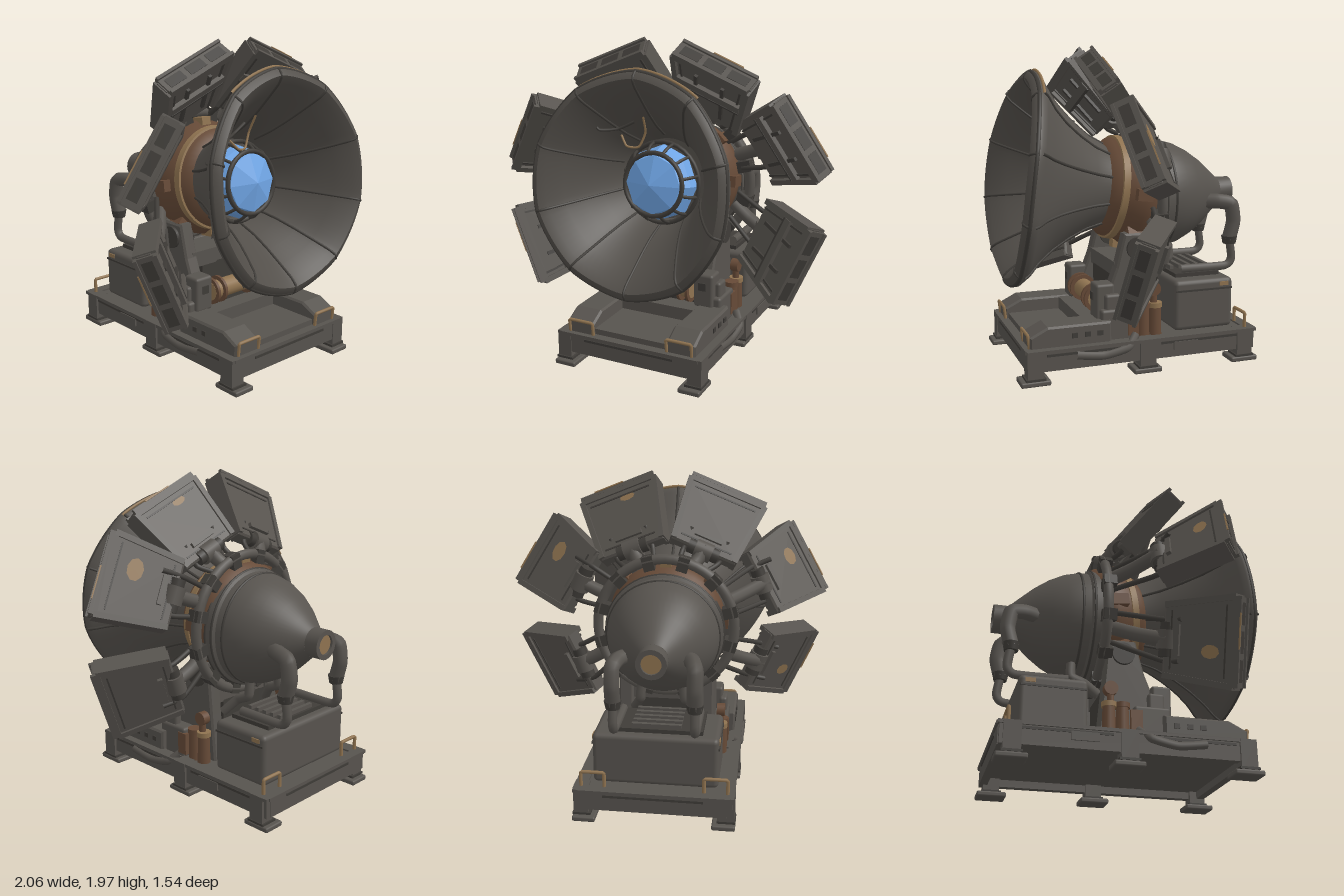
import * as THREE from 'three';
import { toCreasedNormals } from 'three/addons/utils/BufferGeometryUtils.js';
import { RoundedBoxGeometry } from 'three/addons/geometries/RoundedBoxGeometry.js';

const mat = (name, color) => Object.assign(new THREE.MeshStandardMaterial({ color }), { name });
const V = (x, y, z) => new THREE.Vector3(x, y, z);
const rad = THREE.MathUtils.degToRad;

export function createModel() {
  const root = new THREE.Group();
  root.name = 'hornMachine';
  const steel = mat('gunmetal', 0x57534e), dark = mat('darkTrim', 0x3f3c38), inner = mat('hornLining', 0x524e49);
  const rust = mat('rust', 0x664a37), brass = mat('wornBrass', 0x8f7350), blue = mat('coreBlue', 0x70a6e6);

  // helpers
  const add = (parent, name, geo, m, x = 0, y = 0, z = 0) => {
    const mesh = new THREE.Mesh(geo, m);
    mesh.name = name;
    mesh.position.set(x, y, z);
    parent.add(mesh);
    return mesh;
  };
  const group = (parent, name) => {
    const g = new THREE.Group();
    g.name = name;
    parent.add(g);
    return g;
  };
  const box = (p, name, m, w, h, d, x, y, z) => add(p, name, new THREE.BoxGeometry(w, h, d), m, x, y, z);
  const soft = (p, name, m, w, h, d, x, y, z, r = 0.018) => add(p, name, new RoundedBoxGeometry(w, h, d, 2, r), m, x, y, z);
  const tube = (p, name, m, r, pts, n = 24, tension = 0.3) =>
    add(p, name, new THREE.TubeGeometry(new THREE.CatmullRomCurve3(pts.map(a => V(...a)), false, 'catmullrom', tension), n, r, 8), m);
  const cylX = (p, name, m, r, w, x, y, z) => add(p, name, new THREE.CylinderGeometry(r, r, w, 20).rotateZ(Math.PI / 2), m, x, y, z);
  const lathe = (pts, n = 48) => new THREE.LatheGeometry(pts.map(a => new THREE.Vector2(...a)), n).rotateX(Math.PI / 2);
  const crease = (geo, a = 0.6) => toCreasedNormals(geo, a);
  const slab = (pts, depth) => new THREE.ExtrudeGeometry(new THREE.Shape(pts.map(a => new THREE.Vector2(...a))),
    { depth, bevelEnabled: true, bevelSize: 0.012, bevelThickness: 0.012, bevelSegments: 1 }).translate(0, 0, -depth / 2);

  // head: horn, core and throat on a slightly raised axis
  const head = group(root, 'head');
  head.position.set(0, 1.08, 0);
  head.rotation.x = -0.122;

  // horn with shallow flutes; the lip reaches further forward at the sides
  const RIBS = 10;
  const hornPoint = (r, z, a) => {
    const k = THREE.MathUtils.smoothstep(z, 0.2, 0.66);
    const f = r * (1 - 0.014 * k * Math.abs(Math.sin(a * RIBS / 2)));
    return [Math.sin(a) * f * (1 - 0.05 * k), Math.cos(a) * f, z - 0.03 * k * Math.cos(2 * a)];
  };
  const warp = geo => {
    const p = geo.attributes.position;
    for (let i = 0; i < p.count; i++) {
      const x = p.getX(i), y = p.getY(i);
      p.setXYZ(i, ...hornPoint(Math.hypot(x, y), p.getZ(i), Math.atan2(x, y)));
    }
    geo.computeVertexNormals();
    return crease(geo, 0.7);
  };
  const outer = [[0.25, 0.0], [0.26, 0.12], [0.31, 0.24], [0.385, 0.36], [0.47, 0.47], [0.56, 0.56], [0.64, 0.62], [0.668, 0.65]];
  const lining = [[0.67, 0.67], [0.655, 0.695], [0.62, 0.712], [0.575, 0.68], [0.5, 0.59], [0.42, 0.485], [0.345, 0.37], [0.285, 0.25], [0.25, 0.16], [0, 0.15]];
  add(head, 'hornShell', warp(lathe([...outer, lining[0]], 80)), steel);
  add(head, 'hornLining', warp(lathe(lining, 80)), inner);
  for (let i = 0; i < RIBS; i++) {
    const a = i / RIBS * Math.PI * 2;
    tube(head, 'hornRib', dark, 0.008, lining.slice(0, 8).map(([r, z]) => hornPoint(r - 0.003, z, a)));
    tube(head, 'hornOuterRib', dark, 0.009, outer.slice(1).map(([r, z]) => hornPoint(r + 0.002, z, a)));
  }
  const rimArc = (r, z, from, to) => Array.from({ length: 61 }, (_, i) => hornPoint(r, z, from + (to - from) * i / 60));
  tube(head, 'hornRim', dark, 0.013, rimArc(0.66, 0.675, 0, Math.PI * 2), 120);
  tube(head, 'wornRimEdge', brass, 0.009, rimArc(0.673, 0.65, -0.6, 0.65), 50);
  tube(head, 'looseCable', brass, 0.007, [[-0.2, 0.27, 0.42], [-0.15, 0.21, 0.44], [-0.08, 0.21, 0.42], [-0.04, 0.3, 0.42], [-0.03, 0.4, 0.48]]);
  tube(head, 'looseCable', dark, 0.009, [[-0.34, 0.38, 0.52], [-0.3, 0.3, 0.52], [-0.2, 0.31, 0.46], [-0.1, 0.36, 0.45]]);

  // coarse faceted glowing core in a tapering cage
  const core = group(head, 'coreAssembly');
  core.position.y = -0.015;
  const gem = lathe([[0.2, 0.18], [0.236, 0.24], [0.222, 0.3], [0.182, 0.37], [0, 0.425]], 8).toNonIndexed();
  gem.computeVertexNormals();
  add(core, 'core', gem, blue);
  add(core, 'cageFrontRing', new THREE.TorusGeometry(0.192, 0.015, 8, 32), dark, 0, 0, 0.365);
  add(core, 'cageBackRing', new THREE.TorusGeometry(0.25, 0.014, 8, 32), dark, 0, 0, 0.25);
  for (let i = 0; i < 12; i++) {
    const a = (i + 0.5) / 12 * Math.PI * 2, at = (r, z) => [Math.sin(a) * r, Math.cos(a) * r, z];
    tube(core, 'cageBar', dark, 0.01, [at(0.192, 0.365), at(0.232, 0.31), at(0.25, 0.25)], 6);
  }

  // rusty throat with one worn band
  add(head, 'throat', crease(lathe([[0, -0.2], [0.3, -0.2], [0.36, -0.13], [0.37, -0.06], [0.33, 0.0], [0.31, 0.1], [0.26, 0.14]]), 0.8), rust);
  add(head, 'throatBand', crease(lathe([[0.31, 0.03], [0.332, 0.035], [0.328, 0.075], [0.3, 0.08]])), brass);
  for (let i = 0; i < 8; i++) {
    const a = i / 8 * Math.PI * 2;
    const lug = box(head, 'throatLug', i % 4 ? rust : brass, 0.07, 0.05, 0.1, Math.sin(a) * 0.36, Math.cos(a) * 0.36, -0.05);
    lug.rotation.z = -a;
  }

  // rear bell, level, with its open nozzle
  const rear = group(root, 'rearBell');
  rear.position.set(0, 1.03, 0);
  add(rear, 'bell', crease(lathe([[0, -0.69], [0.09, -0.69], [0.105, -0.67], [0.15, -0.62], [0.22, -0.54], [0.282, -0.45], [0.326, -0.36], [0.346, -0.28],
    [0.352, -0.22], [0.368, -0.21], [0.368, -0.14], [0.3, -0.13], [0, -0.13]]), 0.5), steel);
  for (const [r, z] of [[0.366, -0.2], [0.366, -0.15], [0.346, -0.27]]) add(rear, 'bellBand', new THREE.TorusGeometry(r, 0.009, 8, 48), dark, 0, 0, z);
  add(rear, 'nozzle', crease(lathe([[0.06, -0.67], [0.06, -0.78], [0.09, -0.78], [0.09, -0.67]], 24)), steel);
  add(rear, 'nozzleLining', new THREE.CircleGeometry(0.062, 24).rotateY(Math.PI), brass, 0, 0, -0.765);

  // carrying ring for the shield panels
  const ring = group(root, 'carrierRing');
  ring.position.set(0, 1.09, 0);
  add(ring, 'ringBody', new THREE.TorusGeometry(0.43, 0.032, 8, 56), steel, 0, -0.04, -0.14);
  for (let i = 0; i < 12; i++) {
    const a = (i + 0.5) / 12 * Math.PI * 2;
    const c = box(ring, 'ringClamp', dark, 0.07, 0.09, 0.08, Math.sin(a) * 0.415, Math.cos(a) * 0.415 - 0.04, -0.13);
    c.rotation.z = -a;
  }

  // shield panels: bearing from vertical, centre (side shift, radius, z), forward lean, twist, worn spot
  const panelAt = (bearing, x0, r, z, lean, twist, spot) => {
    const spoke = group(ring, 'shieldPanel');
    spoke.rotation.z = -rad(bearing);
    const p = group(spoke, 'panelBody');
    p.position.set(x0, r, z);
    p.rotation.set(rad(lean), rad(twist), 0);
    const L = 0.21, T = 0.075;
    add(p, 'panelPlate', slab([[-0.2, -L], [0.2, -L], [0.247, L], [-0.247, L]], T), steel);
    // raised frame and cross rail on the inner face
    for (const s of [-1, 1]) {
      const rail = box(p, 'sideRail', steel, 0.035, 0.43, 0.135, s * 0.226, 0, 0.005);
      rail.rotation.z = -s * 0.112;
      const edge = box(p, 'railEdge', dark, 0.012, 0.42, 0.014, s * 0.184, 0, 0.052);
      edge.rotation.z = -s * 0.112;
      box(p, 'innerRib', dark, 0.022, 0.28, 0.03, s * 0.09, 0, 0.052);
    }
    box(p, 'topRail', steel, 0.505, 0.04, 0.135, 0, 0.212, 0.005);
    box(p, 'crossRail', steel, 0.43, 0.05, 0.035, 0, 0.04, 0.06);
    box(p, 'crossEdge', dark, 0.43, 0.012, 0.04, 0, 0.01, 0.06);
    // recessed vents along the outer end
    for (let i = -1; i <= 1; i++) box(p, 'endVent', dark, 0.125, 0.008, 0.065, i * 0.16, 0.231, 0.005);
    for (const s of [-1, 1]) box(p, 'endLip', steel, 0.505, 0.022, 0.02, 0, 0.235, 0.005 + s * 0.058);
    // back face trim
    box(p, 'backTrim', dark, 0.41, 0.01, 0.008, 0, 0.16, -0.05);
    box(p, 'backTrim', dark, 0.34, 0.01, 0.008, 0, -0.17, -0.05);
    box(p, 'backHandle', steel, 0.18, 0.03, 0.03, 0, -0.13, -0.056);
    if (spot) {
      const [x, y, w, h] = spot;
      add(p, 'wornSpot', new THREE.CircleGeometry(1, 9).rotateY(Math.PI), brass, x, y, -0.0515).scale.set(w, h, 1);
      box(p, 'wornLip', brass, 0.2, 0.008, 0.008, -x, 0.246, -0.066);
    }
    // hinge arm
    const tip = V(0, -L, -0.02).applyEuler(p.rotation).add(p.position);
    tube(spoke, 'hingeArm', steel, 0.042, [[x0 / 2, 0.38, -0.11], [x0 * 0.8, (0.38 + tip.y) / 2, (tip.z - 0.12) / 2], [tip.x, tip.y + 0.03, tip.z]], 10);
    cylX(spoke, 'hingePin', dark, 0.045, 0.2, tip.x, tip.y, tip.z);
    cylX(spoke, 'hingeKnuckle', steel, 0.06, 0.11, tip.x, tip.y, tip.z);
    for (const s of [-1, 1]) tube(spoke, 'hingeStrut', dark, 0.016, [[x0 / 2 + s * 0.09, 0.38, -0.1], [tip.x + s * 0.12, tip.y - 0.03, tip.z], [tip.x + s * 0.12, tip.y + 0.1, tip.z + 0.05]], 10);
  };
  panelAt(22, 0.045, 0.63, 0.11, 37, 0, [-0.05, 0.14, 0.05, 0.025]);
  panelAt(-22, -0.045, 0.63, 0.11, 37, 0);
  panelAt(66, 0.03, 0.745, 0.06, 34, 12, [-0.07, 0.05, 0.07, 0.05]);
  panelAt(108, 0.14, 0.78, 0.065, 36, -8);
  panelAt(-69, -0.04, 0.74, 0.3, 47, -12, [0.06, 0.08, 0.06, 0.045]);
  panelAt(-110, -0.135, 0.78, 0.34, 48, 4, [-0.06, 0.07, 0.04, 0.055]);

  // base frame with six feet
  const base = group(root, 'base');
  box(base, 'deck', steel, 0.88, 0.05, 1.44, 0, 0.175, -0.02);
  box(base, 'underside', steel, 0.84, 0.03, 1.4, 0, 0.14, -0.02);
  for (const s of [-1, 1]) {
    box(base, 'sideRail', steel, 0.05, 0.11, 1.46, s * 0.445, 0.135, -0.02);
    box(base, 'sideRailLip', steel, 0.075, 0.02, 1.48, s * 0.445, 0.2, -0.02);
    for (const z of [0.34, -0.38]) box(base, 'sideRailSlot', dark, 0.008, 0.015, 0.52, s * 0.471, 0.175, z);
    box(base, 'endRail', steel, 0.88, 0.11, 0.05, 0, 0.135, -0.02 + s * 0.71);
    box(base, 'endRailLip', steel, 0.92, 0.02, 0.07, 0, 0.2, -0.02 + s * 0.71);
    box(base, 'endRailSlot', dark, 0.6, 0.015, 0.008, 0, 0.175, -0.02 + s * 0.736);
    for (const z of [0.67, -0.03, -0.68]) {
      soft(base, 'footPad', steel, 0.14, 0.032, 0.18, s * 0.42, 0.016, z, 0.01);
      box(base, 'footPost', steel, 0.09, 0.19, 0.1, s * 0.44, 0.115, z);
      box(base, 'footCollar', dark, 0.11, 0.014, 0.12, s * 0.435, 0.04, z);
    }
    // consoles, handles and side hose
    const desk = add(base, 'console', slab([[-0.22, 0], [0.26, 0], [0.26, 0.06], [0.16, 0.11], [-0.22, 0.11]], 0.16).rotateY(-Math.PI / 2), steel, s * 0.34, 0.21, 0.42);
    for (let i = 0; i < 3; i++) box(desk, 'consoleButton', dark, 0.012, 0.03, 0.035, s * 0.093, 0.06, -0.16 + i * 0.08);
    tube(base, 'frontHandle', brass, 0.01, [[s * 0.41, 0.21, 0.69], [s * 0.41, 0.29, 0.7], [s * 0.25, 0.29, 0.7], [s * 0.25, 0.21, 0.69]], 30, 0.05);
    tube(base, 'rearHandle', brass, 0.011, [[s * 0.44, 0.21, -0.7], [s * 0.44, 0.3, -0.7], [s * 0.3, 0.3, -0.7], [s * 0.3, 0.21, -0.7]], 30, 0.05);
    tube(base, 'sideHose', steel, 0.026, [[s * 0.42, 0.23, 0.03], [s * 0.47, 0.17, 0.1], [s * 0.47, 0.14, 0.25], [s * 0.47, 0.16, 0.42]]);
    box(base, 'sideLatch', steel, 0.03, 0.05, 0.16, s * 0.465, 0.15, -0.28);

    // yoke cheeks carrying the head
    const cheek = add(base, 'yokeCheek', slab([[-0.16, 0], [0.22, 0], [0.2, 0.16], [0.1, 0.42], [0.05, 0.62], [-0.1, 0.62], [-0.13, 0.3]], 0.07).rotateY(-Math.PI / 2), steel, s * 0.26, 0.2, 0.0);
    cylX(cheek, 'yokePivot', dark, 0.07, 0.13, 0, 0.54, -0.02);
    soft(base, 'yokeFoot', steel, 0.15, 0.2, 0.22, s * 0.32, 0.29, 0.13);
    soft(base, 'yokeBlock', steel, 0.13, 0.22, 0.12, s * 0.285, 0.43, 0.2);
    soft(base, 'yokeShoulder', steel, 0.05, 0.2, 0.1, s * 0.355, 0.38, 0.16);
    box(base, 'yokeBolt', dark, 0.05, 0.05, 0.014, s * 0.28, 0.46, 0.26);
    // rusty jacks beside the yoke
    for (const z of [-0.12, -0.04]) {
      add(base, 'jackBody', new THREE.CylinderGeometry(0.037, 0.042, 0.2, 12), rust, s * 0.355, 0.3, z);
      add(base, 'jackCap', new THREE.CylinderGeometry(0.045, 0.045, 0.03, 12), z < -0.1 ? brass : rust, s * 0.355, 0.39, z);
    }
    box(base, 'jackBracket', rust, 0.03, 0.14, 0.07, s * 0.385, 0.29, 0.035);
    add(base, 'jackRod', new THREE.CylinderGeometry(0.022, 0.022, 0.14, 10), rust, s * 0.355, 0.45, -0.11);
    cylX(base, 'jackEye', rust, 0.042, 0.05, s * 0.355, 0.49, -0.11);

    // coolant pipes from the bell to the power unit
    tube(base, 'coolantPipe', steel, 0.048, [[s * 0.18, 0.99, -0.53], [s * 0.22, 0.99, -0.61], [s * 0.24, 0.97, -0.69], [s * 0.24, 0.86, -0.71], [s * 0.24, 0.74, -0.68]], 30);
    tube(base, 'coolantPipeLower', steel, 0.028, [[s * 0.24, 0.76, -0.68], [s * 0.24, 0.62, -0.7], [s * 0.24, 0.57, -0.65], [s * 0.24, 0.57, -0.34]], 30);
    add(base, 'pipeCollar', new THREE.CylinderGeometry(0.052, 0.042, 0.05, 14), dark, s * 0.24, 0.74, -0.683);
    tube(base, 'bellDrain', steel, 0.03, [[s * 0.13, 0.72, -0.3], [s * 0.14, 0.63, -0.3], [s * 0.15, 0.59, -0.22], [s * 0.2, 0.5, -0.14]]);
    box(base, 'unitSeam', dark, 0.008, 0.012, 0.38, s * 0.381, 0.46, -0.445);
    box(base, 'unitWear', brass, 0.008, 0.025, 0.06, s * 0.381, 0.49, -0.58);
  }

  // front tray, winch and power unit
  box(base, 'frontTray', steel, 0.5, 0.05, 0.46, 0, 0.22, 0.44);
  box(base, 'frontStep', steel, 0.6, 0.11, 0.12, 0, 0.27, 0.27);
  cylX(base, 'winchDrum', brass, 0.06, 0.38, 0, 0.41, 0.2);
  for (const x of [-0.18, -0.12, 0.12, 0.18]) cylX(base, 'winchFlange', rust, 0.085, 0.018, x, 0.41, 0.2);
  box(base, 'yokeBridge', steel, 0.5, 0.1, 0.22, 0, 0.6, 0.0);
  box(base, 'yokeCore', dark, 0.34, 0.36, 0.22, 0, 0.38, 0.0);
  soft(base, 'powerUnit', steel, 0.76, 0.32, 0.4, 0, 0.365, -0.445, 0.03);
  box(base, 'unitTop', dark, 0.56, 0.03, 0.3, 0, 0.535, -0.44);
  for (let i = 0; i < 5; i++) box(base, 'unitVent', steel, 0.3, 0.04, 0.025, 0, 0.555, -0.56 + i * 0.06);
  return root;
}
